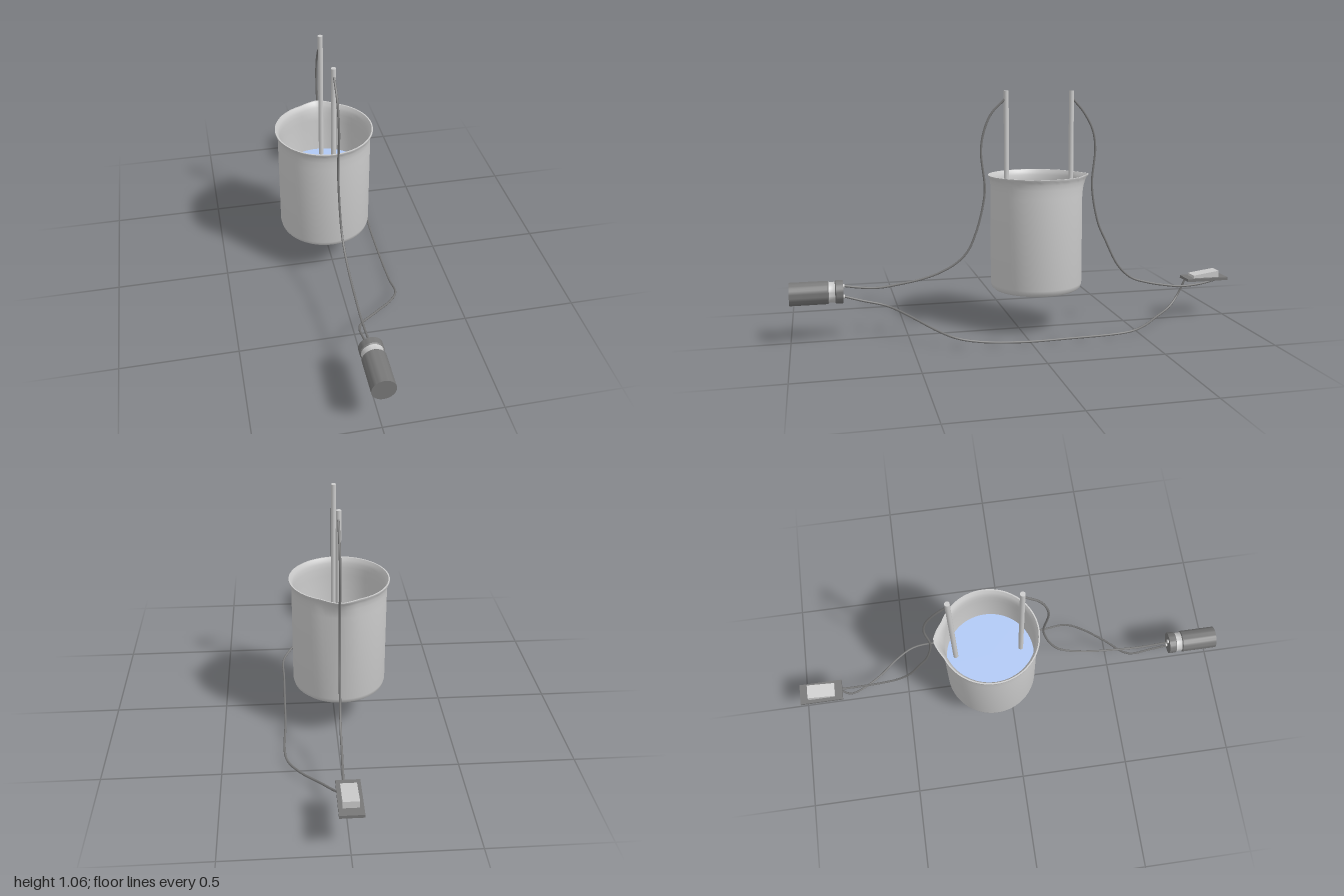
import * as THREE from 'three';
import { toCreasedNormals } from 'three/addons/utils/BufferGeometryUtils.js';

const grey = new THREE.MeshStandardMaterial({ color: 0xcccccc });
const dark = new THREE.MeshStandardMaterial({ color: 0x777777 });
const blue = new THREE.MeshStandardMaterial({ color: 0xb0c8f4 });

function add(parent, name, geometry, material, x = 0, y = 0, z = 0) {
  const mesh = new THREE.Mesh(geometry, material);
  mesh.name = name;
  mesh.position.set(x, y, z);
  parent.add(mesh);
  return mesh;
}

const lathe = (points, segments, start = 0) =>
  new THREE.LatheGeometry(points.map(([r, y]) => new THREE.Vector2(r, y)), segments, start);

// Beaker: double-walled profile whose rim is pulled out into a spout at the back
function beakerGeometry() {
  const geo = lathe([
    [0, 0], [0.175, 0], [0.19, 0.003], [0.201, 0.013], [0.205, 0.03],
    [0.205, 0.43], [0.205, 0.468], [0.207, 0.49], [0.211, 0.503], [0.216, 0.51], [0.216, 0.515],
    [0.21, 0.515], [0.203, 0.503], [0.199, 0.49], [0.197, 0.468], [0.197, 0.43],
    [0.197, 0.03], [0.193, 0.017], [0.175, 0.009], [0, 0.009],
  ], 72, Math.PI);
  const pos = geo.attributes.position;
  for (let i = 0; i < pos.count; i++) {
    const x = pos.getX(i), y = pos.getY(i), z = pos.getZ(i);
    const lift = THREE.MathUtils.clamp((y - 0.43) / 0.085, 0, 1);
    const angle = Math.abs(Math.atan2(x - 0.012, -z));
    const pull = 0.025 * lift * Math.max(0, 1 - angle / 0.38);
    const r = Math.hypot(x, z) || 1;
    pos.setXYZ(i, x * (1 + pull / r), y, z * (1 + pull / r));
  }
  return toCreasedNormals(geo, 0.7);
}

function wire(parent, name, points) {
  const curve = new THREE.CatmullRomCurve3(points.map((p) => new THREE.Vector3(...p)), false, 'centripetal');
  add(parent, name, new THREE.TubeGeometry(curve, points.length * 5, 0.005, 8), dark);
}

export function createModel() {
  const model = new THREE.Group();
  model.name = 'electrolysisSetup';

  // Beaker and liquid
  const beaker = new THREE.Group();
  beaker.name = 'beakerGroup';
  beaker.position.set(-0.02, 0.18, -0.085);
  model.add(beaker);
  add(beaker, 'beaker', beakerGeometry(), grey);
  add(beaker, 'liquid', new THREE.CylinderGeometry(0.196, 0.19, 0.26, 64), blue, 0, 0.145, 0);

  // Electrode rods
  for (const [name, z] of [['frontElectrode', 0.055], ['backElectrode', -0.24]]) {
    add(model, name, new THREE.CylinderGeometry(0.011, 0.011, 0.8, 20), grey, -0.005, 0.665, z);
  }

  // Battery lying along z, with a lighter grooved band and two terminals
  const battery = new THREE.Group();
  battery.name = 'battery';
  battery.position.set(0, 0.215, 1);
  battery.rotation.x = -Math.PI / 2;
  model.add(battery);
  const can = (points) => toCreasedNormals(lathe(points, 40), 0.6);
  add(battery, 'batteryBody', can([[0, 0], [0.05, 0], [0.05, 0.16], [0.045, 0.165], [0, 0.165]]), dark);
  add(battery, 'batteryBand', can([[0.047, 0.16], [0.044, 0.17], [0.044, 0.185], [0.047, 0.195]]), grey);
  add(battery, 'batteryCap', can([[0, 0.19], [0.045, 0.19], [0.05, 0.195], [0.05, 0.225], [0, 0.225]]), dark);
  for (const side of [-1, 1]) {
    add(battery, 'terminal', new THREE.CylinderGeometry(0.009, 0.009, 0.008, 16), grey, 0, 0.228, side * 0.023);
  }

  // Switch: thin plate with a tilted rocker
  const rocker = new THREE.Shape();
  rocker.moveTo(0.835, 0.19);
  rocker.lineTo(0.96, 0.19);
  rocker.lineTo(0.96, 0.22);
  rocker.lineTo(0.835, 0.203);
  const rockerGeo = new THREE.ExtrudeGeometry(rocker, { depth: 0.064, bevelEnabled: false });
  rockerGeo.rotateY(Math.PI / 2);
  const toggle = new THREE.Group();
  toggle.name = 'switch';
  model.add(toggle);
  add(toggle, 'switchPlate', new THREE.BoxGeometry(0.096, 0.013, 0.2), dark, -0.002, 0.184, -0.9);
  add(toggle, 'switchRocker', rockerGeo, grey, -0.034, 0, 0);

  // Wires
  const x = -0.004;
  wire(model, 'frontElectrodeWire', [
    [x, 0.24, 0.78], [x, 0.227, 0.7], [x, 0.222, 0.62], [x, 0.233, 0.53], [x, 0.25, 0.435],
    [x, 0.275, 0.355], [x, 0.315, 0.28], [x, 0.365, 0.23], [x, 0.455, 0.19], [x, 0.556, 0.163],
    [x, 0.64, 0.152], [x, 0.81, 0.168], [x, 0.9, 0.152], [x, 0.97, 0.12], [x, 1.03, 0.06],
  ]);
  wire(model, 'backElectrodeWire', [
    [x, 1.03, -0.245], [x, 0.97, -0.297], [x, 0.89, -0.34], [x, 0.81, -0.353], [x, 0.64, -0.34],
    [-0.002, 0.47, -0.37], [0, 0.39, -0.405], [0.002, 0.267, -0.468], [0.004, 0.206, -0.532],
    [0.006, 0.18, -0.607], [0.009, 0.163, -0.69], [0.012, 0.152, -0.78], [0.013, 0.158, -0.875],
    [0.013, 0.177, -0.965],
  ]);
  wire(model, 'switchWire', [
    [x, 0.195, 0.78], [x, 0.17, 0.7], [0, 0.14, 0.59], [0.095, 0.107, 0.49], [0.18, 0.07, 0.4],
    [0.227, 0.043, 0.32], [0.227, 0.019, 0.21], [0.227, 0.006, 0.035], [0.227, 0.007, -0.15],
    [0.227, 0.017, -0.44], [0.175, 0.024, -0.535], [0.095, 0.037, -0.625], [0.03, 0.062, -0.715],
    [x, 0.108, -0.77], [x, 0.18, -0.805],
  ]);

  return model;
}
